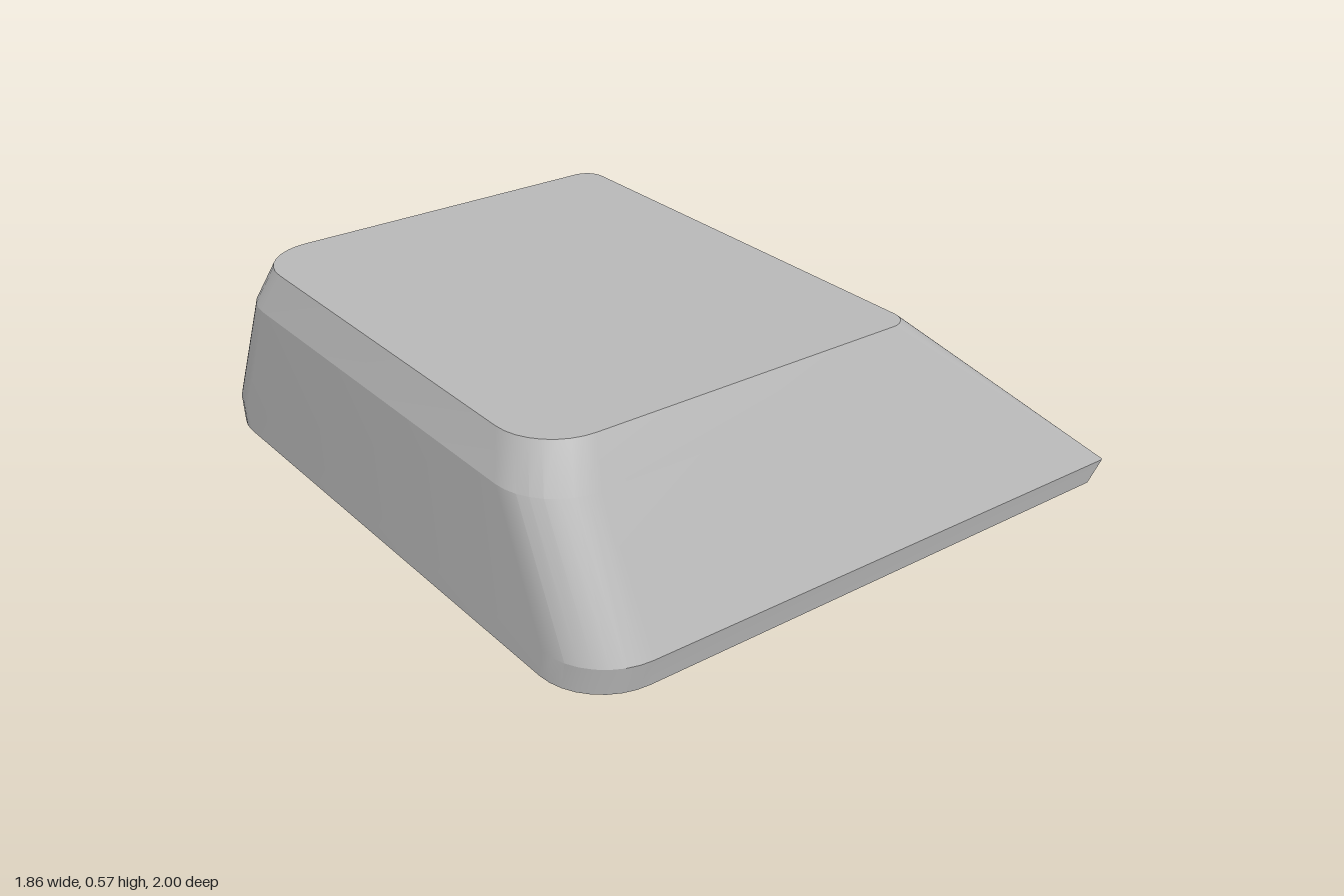
import * as THREE from 'three';
import { toCreasedNormals } from 'three/addons/utils/BufferGeometryUtils.js';

const STEPS = 8;
const TURN = 0.018; // the whole block is turned slightly about y

// One rounded outline; corners run front-left, front-right, back-right, back-left as [x, y, z, radius]
function ring(corners) {
  const points = [];
  corners.forEach(([x, y, z, r], k) => {
    const cx = x - Math.sign(x) * r;
    const cz = z - Math.sign(z) * r;
    for (let i = 0; i <= STEPS; i++) {
      const a = Math.PI + (k + i / STEPS) * Math.PI / 2;
      points.push([cx + r * Math.cos(a), y, cz - r * Math.sin(a)]);
    }
  });
  return points;
}

// Skin the outlines from bottom to top and close both ends
function loft(rings) {
  const n = rings[0].length;
  const index = [];
  for (let j = 0; j < rings.length - 1; j++) {
    for (let i = 0; i < n; i++) {
      const a = j * n + i, b = j * n + (i + 1) % n;
      index.push(a, b, b + n, a, b + n, a + n);
    }
  }
  const top = (rings.length - 1) * n;
  for (let i = 1; i < n - 1; i++) {
    index.push(0, i + 1, i);
    index.push(top, top + i, top + i + 1);
  }
  const geometry = new THREE.BufferGeometry();
  geometry.setAttribute('position', new THREE.Float32BufferAttribute(rings.flat(2), 3));
  geometry.setIndex(index);
  return toCreasedNormals(geometry, THREE.MathUtils.degToRad(15));
}

export function createModel() {
  const grey = new THREE.MeshStandardMaterial({ color: 0xb8b8b8 });
  grey.name = 'light grey';

  const outlines = [
    // base
    [[-0.915, 0, 0.972, 0.19], [0.86, 0, 0.968, 0.006], [0.86, 0, -0.98, 0.006], [-0.915, 0, -0.958, 0.19]],
    // top of the low rim
    [[-0.915, 0.08, 0.987, 0.19], [0.91, 0.06, 0.971, 0.006], [0.91, 0.06, -0.984, 0.006], [-0.915, 0.08, -0.97, 0.19]],
    // bend in the left wall
    [[-0.915, 0.455, 0.797, 0.18], [0.459, 0.455, 0.793, 0.05], [0.459, 0.455, -0.785, 0.05], [-0.915, 0.455, -0.782, 0.18]],
    // flat top
    [[-0.875, 0.575, 0.736, 0.17], [0.322, 0.575, 0.736, 0.06], [0.322, 0.575, -0.722, 0.06], [-0.875, 0.575, -0.722, 0.17]],
  ];

  const block = new THREE.Mesh(loft(outlines.map(ring)), grey);
  block.name = 'slopedBlock';
  block.rotation.y = TURN;

  const group = new THREE.Group();
  group.name = 'wedgeBlock';
  group.add(block);
  return group;
}
